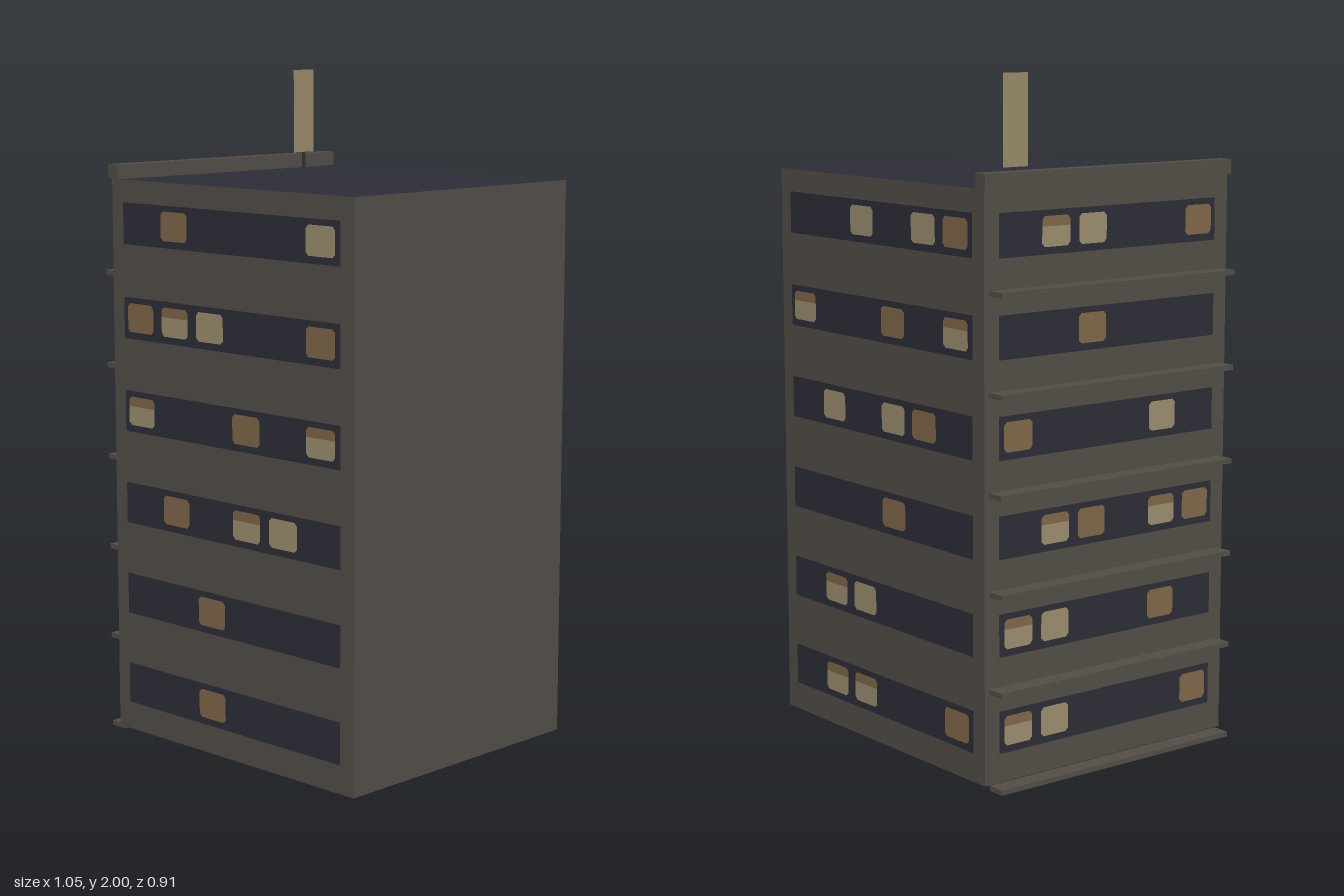
import * as THREE from 'three';

const mat = (name, color, side = THREE.FrontSide) => {
  const m = new THREE.MeshStandardMaterial({ color, side });
  m.name = name;
  return m;
};

export function createModel() {
  const wall = mat('wall concrete', 0x524e47, THREE.DoubleSide);
  const dark = mat('dark glass and roof', 0x2d2d38);
  const amber = mat('amber window', 0x80674a);
  const cream = mat('cream window', 0x9c8e6f);
  const tan = mat('sign panel', 0x988a69, THREE.DoubleSide);
  const metal = mat('post metal', 0x35332f);

  const model = new THREE.Group();
  model.name = 'officeBlock';
  const add = (parent, name, geo, material, x, y, z) => {
    const m = new THREE.Mesh(geo, material);
    m.name = name;
    m.position.set(x, y, z);
    parent.add(m);
    return m;
  };

  // Hollow body, open underneath, with a dark roof
  const X0 = -0.47, X1 = 0.523, Y0 = 0.016, Y1 = 1.693, Z = 0.45;
  const W = X1 - X0, cx = (X0 + X1) / 2;
  const shell = new THREE.BoxGeometry(W, Y1 - Y0, 2 * Z);
  shell.clearGroups();
  shell.addGroup(0, 12, 0);
  shell.addGroup(12, 6, 1);
  shell.addGroup(24, 12, 0);
  add(model, 'body', shell, [wall, dark], cx, (Y0 + Y1) / 2, 0);

  // Flat pane with clipped corners; y runs from lo to hi
  const pane = (w, lo, hi, clipLow, clipHigh) => {
    const c = 0.01, a = clipLow ? c : 0, b = clipHigh ? c : 0, h = w / 2;
    return new THREE.ShapeGeometry(new THREE.Shape([
      [-h + a, lo], [h - a, lo], [h, lo + a], [h, hi - b],
      [h - b, hi], [-h + b, hi], [-h, hi - b], [-h, lo + a],
    ].map(([x, y]) => new THREE.Vector2(x, y))));
  };

  // Facade: six glass bands; rows go upwards, columns from the viewer's left
  // o = amber, c = cream, b = cream with a lowered amber blind
  const facade = (name, width, rows) => {
    const g = new THREE.Group();
    g.name = name;
    const band = width - 0.1, pitch = band / 6, w = pitch * 0.755, h = 0.043;
    rows.forEach((row, r) => {
      const y = 0.163 + r * 0.2803;
      add(g, 'glassBand', new THREE.PlaneGeometry(band, 0.124), dark, 0, y, 0.002);
      [...row].forEach((k, i) => {
        if (k === '.') return;
        const x = (i - 2.5) * pitch;
        if (k === 'b') {
          add(g, 'litWindow', pane(w, -h, 0.014, true, false), cream, x, y + 0.002, 0.004);
          add(g, 'blind', pane(w, 0.014, h, false, true), amber, x, y + 0.002, 0.004);
        } else {
          add(g, 'litWindow', pane(w, -h, h, true, true), k === 'o' ? amber : cream, x, y + 0.002, 0.004);
        }
      });
    });
    model.add(g);
    return g;
  };

  const front = facade('frontFacade', W,
    ['..o...', '..o...', '.o.bc.', 'b..o.b', 'obc..o', '.o...c']);
  front.position.set(cx, 0, Z);

  const back = facade('backFacade', W,
    ['.bb..o', '.bc...', '...o..', '.c.co.', 'b..o.b', '..c.co']);
  back.position.set(cx, 0, -Z);
  back.rotation.y = Math.PI;

  const side = facade('rightFacade', 2 * Z,
    ['bc...o', 'bc..o.', '.bo.bo', 'o...c.', '..o...', '.bc..o']);
  side.position.set(X0, 0, 0);
  side.rotation.y = -Math.PI / 2;

  // Ledges below each floor on the right side
  for (let i = 0; i < 6; i++) {
    add(model, 'ledge', new THREE.BoxGeometry(0.055, 0.015, 0.866), wall,
      X0 - 0.0275, 0.0075 + i * 0.2803, 0);
  }

  // Parapet along the right roof edge
  add(model, 'parapet', new THREE.BoxGeometry(0.045, 0.043, 0.91), wall, -0.459, 1.7145, 0);

  // Rooftop sign on a thin post
  add(model, 'signPost', new THREE.BoxGeometry(0.008, 0.05, 0.008), metal, -0.41, 1.718, -0.293);
  const sign = add(model, 'signPanel', new THREE.PlaneGeometry(0.087, 0.257), tan, -0.41, 1.8715, -0.293);
  sign.rotation.y = Math.PI / 2;

  return model;
}
